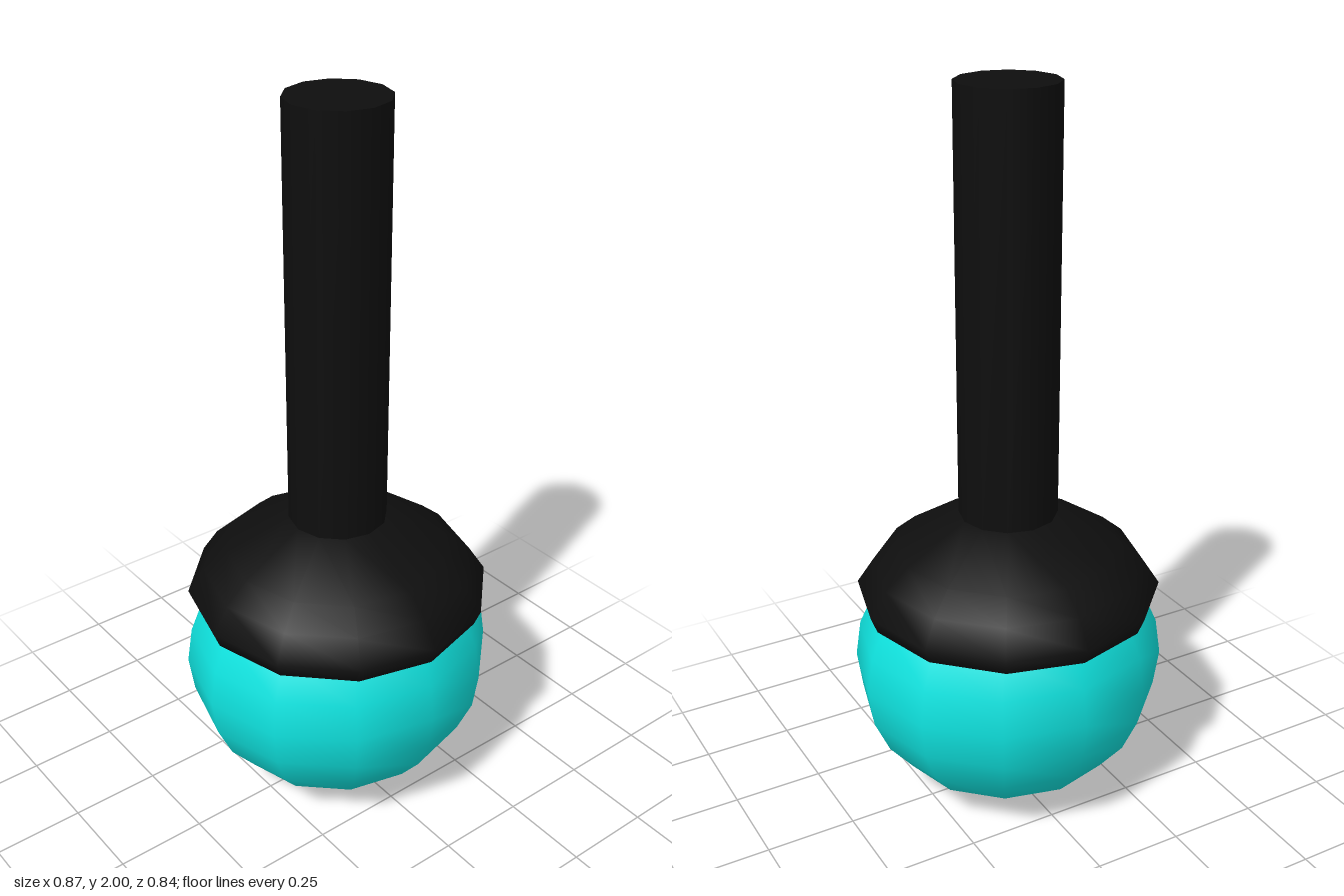
import * as THREE from 'three';

const SIDES = 12;

export function createModel() {
  const model = new THREE.Group();
  const black = new THREE.MeshStandardMaterial({ color: 0x0e0e0e });
  black.name = 'black';
  const turquoise = new THREE.MeshStandardMaterial({ color: 0x0fe3df });
  turquoise.name = 'turquoise';

  const add = (name, geometry, material, y = 0) => {
    const mesh = new THREE.Mesh(geometry, material);
    mesh.name = name;
    mesh.position.y = y;
    model.add(mesh);
    return mesh;
  };
  const lathe = (points) =>
    new THREE.LatheGeometry(points.map(([r, y]) => new THREE.Vector2(r, y)), SIDES);

  // Slightly flattened ball resting on the ground
  const ball = new THREE.SphereGeometry(1, SIDES, 12);
  ball.scale(0.435, 0.4, 0.416);
  add('ball', ball, turquoise, 0.4);

  // Domed collar gripping the top of the ball
  add('collar', lathe([
    [0.3, 0.585], [0.4, 0.585], [0.418, 0.63], [0.372, 0.7],
    [0.307, 0.755], [0.135, 0.85], [0, 0.85],
  ]), black);

  // Straight stem with a flat end
  add('stem', new THREE.CylinderGeometry(0.135, 0.135, 1.16, SIDES), black, 1.42);

  return model;
}
